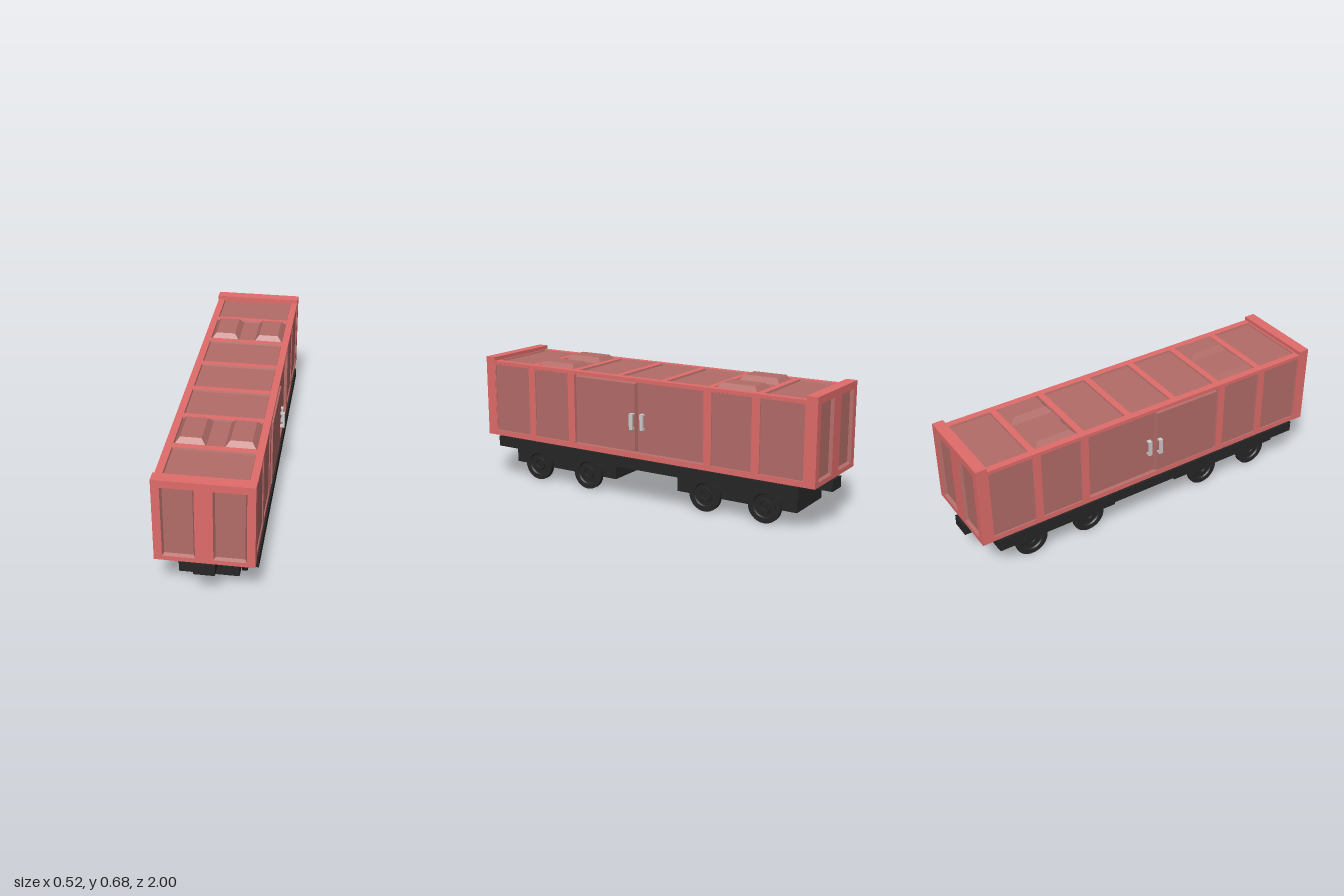
import * as THREE from 'three';

const mat = (color) => new THREE.MeshStandardMaterial({ color, flatShading: true });
const red = mat(0xe06c6a), rose = mat(0xb36c68), black = mat(0x262626), grey = mat(0xcccccc);

function add(parent, name, geometry, material, x = 0, y = 0, z = 0) {
  const mesh = new THREE.Mesh(geometry, material);
  mesh.name = name;
  mesh.position.set(x, y, z);
  parent.add(mesh);
  return mesh;
}

const box = (parent, name, w, h, d, material, x, y, z) =>
  add(parent, name, new THREE.BoxGeometry(w, h, d), material, x, y, z);

// Box whose face on the given z side (+1 or -1) is inset by a bevel
function tapered(w, h, d, bevel, side) {
  const g = new THREE.BoxGeometry(w, h, d);
  const p = g.attributes.position;
  for (let i = 0; i < p.count; i++) {
    if (p.getZ(i) * side > 0) {
      p.setX(i, p.getX(i) - Math.sign(p.getX(i)) * bevel);
      p.setY(i, p.getY(i) - Math.sign(p.getY(i)) * bevel);
    }
  }
  g.computeVertexNormals();
  return g;
}

// Sunken panel: a tapered box without its front, turned inside out
function tray(w, h, d, bevel) {
  const g = tapered(w, h, d, bevel, -1);
  const index = Array.from(g.index.array).filter((_, i) => i < 24 || i >= 30);
  g.setIndex(index.reverse());
  g.clearGroups();
  g.computeVertexNormals();
  return g;
}

// Framed wall facing local +z; each opening is [x0, x1, y0, y1, depth, bevel]
function wall(name, w, y0, y1, thickness, openings) {
  const group = new THREE.Group();
  group.name = name;
  const rect = (T, a, b, c, d) => {
    const path = new T();
    path.moveTo(a, c).lineTo(b, c).lineTo(b, d).lineTo(a, d).closePath();
    return path;
  };
  const shape = rect(THREE.Shape, -w / 2, w / 2, y0, y1);
  for (const [a, b, c, d, depth, bevel] of openings) {
    shape.holes.push(rect(THREE.Path, a, b, c, d));
    add(group, 'sunkenPanel', tray(b - a, d - c, depth, bevel), rose, (a + b) / 2, (c + d) / 2, -depth / 2);
  }
  const g = new THREE.ExtrudeGeometry(shape, { depth: thickness, bevelEnabled: false });
  g.translate(0, 0, -thickness);
  add(group, 'frame', g, red);
  return group;
}

// U-shaped grab handle standing out along local +z
function handle(parent, x, z) {
  const g = new THREE.Group();
  g.name = 'doorHandle';
  box(g, 'grip', 0.02, 0.084, 0.009, grey, 0, 0, 0.0185);
  for (const s of [-1, 1]) box(g, 'post', 0.02, 0.009, 0.016, grey, 0, s * 0.0375, 0.007);
  g.position.set(x, 0.435, z);
  parent.add(g);
}

export function createModel() {
  const model = new THREE.Group();
  model.name = 'boxcar';

  // Underframe and couplers
  box(model, 'underframe', 0.48, 0.056, 1.82, black, 0, 0.208, 0);
  for (const s of [-1, 1]) box(model, 'coupler', 0.1, 0.056, 0.1, black, 0, 0.208, s * 0.95);
  box(model, 'floor', 0.46, 0.014, 1.97, red, 0, 0.244, 0);

  // Bogies with stepped wheels
  const profile = [[0, 0], [0.088, 0], [0.088, 0.022], [0.062, 0.022], [0.057, 0.014], [0.038, 0.014],
    [0.036, 0.021], [0.021, 0.021], [0.019, 0.014], [0, 0.014]].map(([r, y]) => new THREE.Vector2(r, y));
  const wheelGeometry = new THREE.LatheGeometry(profile, 32);
  for (const e of [-1, 1]) {
    const bogie = new THREE.Group();
    bogie.name = e > 0 ? 'frontBogie' : 'rearBogie';
    box(bogie, 'bogieFrame', 0.288, 0.107, 0.67, black, 0, 0.1285, e * 0.526);
    for (const s of [-1, 1]) {
      for (const z of [0.362, 0.695]) {
        add(bogie, 'wheel', wheelGeometry, black, s * 0.143, 0.088, e * z).rotation.z = -s * Math.PI / 2;
      }
    }
    model.add(bogie);
  }

  // Side walls with sliding doors, the front leaf standing proud of the rear one
  for (const s of [-1, 1]) {
    const openings = [[-0.39, 0.39, 0.265, 0.64, 0.016, 0.004]];
    for (const e of [-1, 1]) {
      for (const [a, b] of [[0.433, 0.652], [0.695, 0.925]]) {
        openings.push([Math.min(e * a, e * b), Math.max(e * a, e * b), 0.265, 0.64, 0.005, 0.002]);
      }
    }
    const side = wall(s > 0 ? 'leftWall' : 'rightWall', 1.96, 0.238, 0.655, 0.02, openings);
    add(side, 'frontDoor', tapered(0.376, 0.362, 0.022, 0.005, 1), rose, -s * 0.19, 0.452, -0.004);
    add(side, 'rearDoor', tapered(0.376, 0.362, 0.01, 0.003, 1), rose, -s * 0.191, 0.453, -0.0115);
    handle(side, -s * 0.018, 0.007);
    handle(side, s * 0.037, -0.0065);
    side.position.x = s * 0.231;
    side.rotation.y = s * Math.PI / 2;
    model.add(side);
  }

  // End walls rising above the roof
  for (const s of [-1, 1]) {
    const end = wall(s > 0 ? 'frontWall' : 'rearWall', 0.466, 0.238, 0.675, 0.058,
      [[-0.194, -0.042, 0.262, 0.637, 0.016, 0.008], [0.042, 0.194, 0.262, 0.637, 0.016, 0.008]]);
    end.position.z = s * 0.988;
    if (s < 0) end.rotation.y = Math.PI;
    model.add(end);
  }

  // Roof with seven sunken panels and two pairs of hatches
  const panels = [];
  for (let i = -3; i <= 3; i++) {
    const c = i * 0.27 + 0.006;
    panels.push([-0.195, 0.195, c - 0.118, c + 0.118, 0.01, 0.003]);
  }
  const roof = wall('roof', 0.46, -0.98, 0.98, 0.02, panels);
  for (const e of [-1, 1]) {
    for (const s of [-1, 1]) {
      add(roof, 'hatch', tapered(0.15, 0.228, 0.03, 0.024, 1), rose, s * 0.118, e * 0.54 + 0.006, 0.005);
    }
  }
  roof.position.y = 0.655;
  roof.rotation.x = -Math.PI / 2;
  model.add(roof);

  return model;
}
